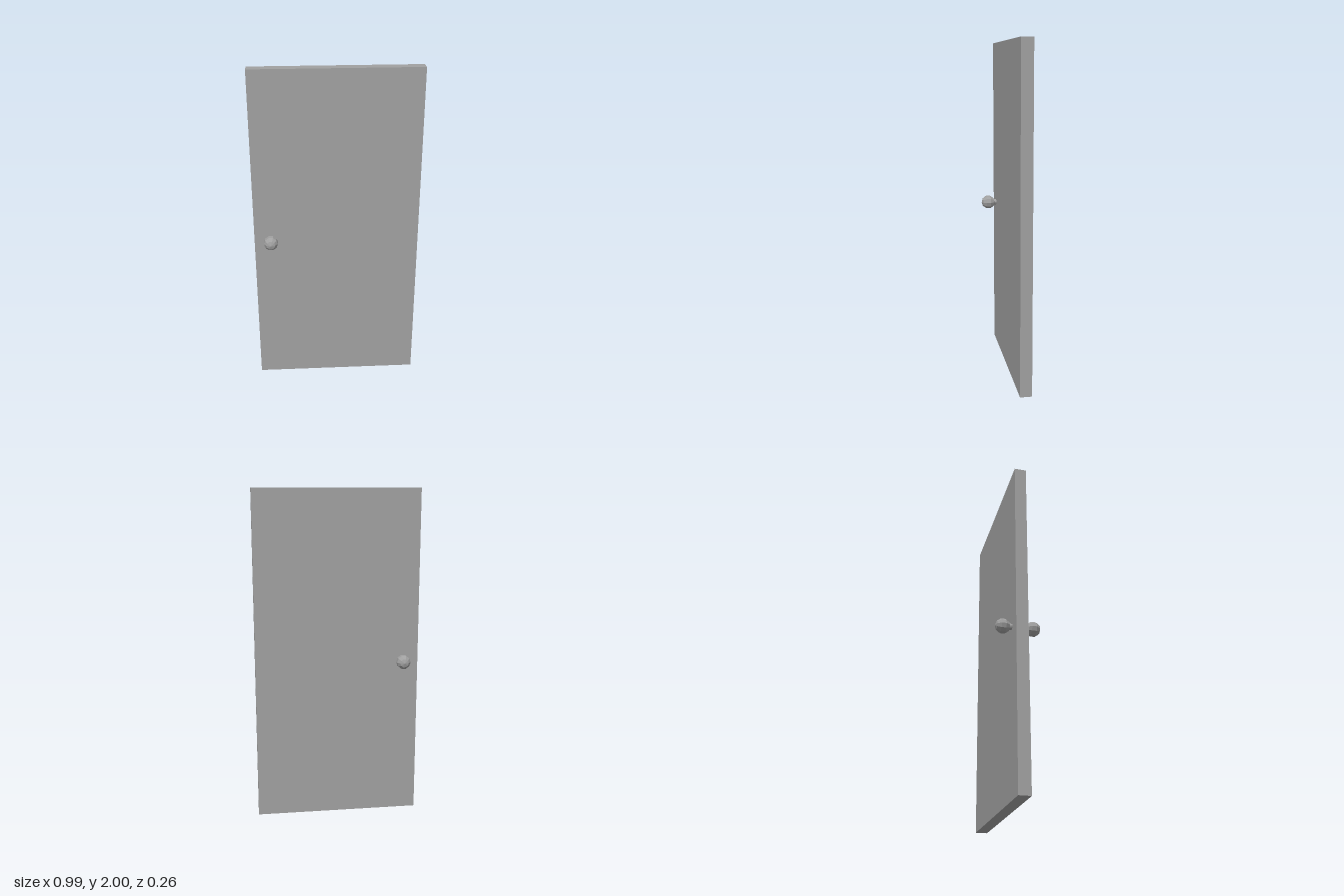
import * as THREE from 'three';

export function createModel() {
  const model = new THREE.Group();
  model.name = 'door';
  const gray = new THREE.MeshStandardMaterial({ color: 0xa0a0a0, flatShading: true });
  gray.name = 'plain gray';

  // Door slab
  const slab = new THREE.Mesh(new THREE.BoxGeometry(0.994, 2, 0.07), gray);
  slab.name = 'doorPanel';
  slab.position.y = 1;
  model.add(slab);

  // Ten-sided ball knob on a short stem, turned about z
  const stemRadius = 0.018, ballRadius = 0.044, ballCentre = 0.087, sides = 10;
  const stemShape = new THREE.CylinderGeometry(stemRadius, stemRadius, 0.04, sides, 1, true, Math.PI / 2);
  stemShape.translate(0, 0.05, 0).rotateX(Math.PI / 2);
  const ballShape = new THREE.SphereGeometry(ballRadius, sides, 5);
  ballShape.translate(0, ballCentre, 0).rotateX(Math.PI / 2);

  for (const [name, turn] of [['frontKnob', 0], ['backKnob', Math.PI]]) {
    const knob = new THREE.Group();
    knob.name = name;
    const stem = new THREE.Mesh(stemShape, gray);
    stem.name = 'knobStem';
    const ball = new THREE.Mesh(ballShape, gray);
    ball.name = 'knobBall';
    knob.add(stem, ball);
    knob.position.set(-0.397, 0.97, 0);
    knob.rotation.y = turn;
    model.add(knob);
  }
  return model;
}
